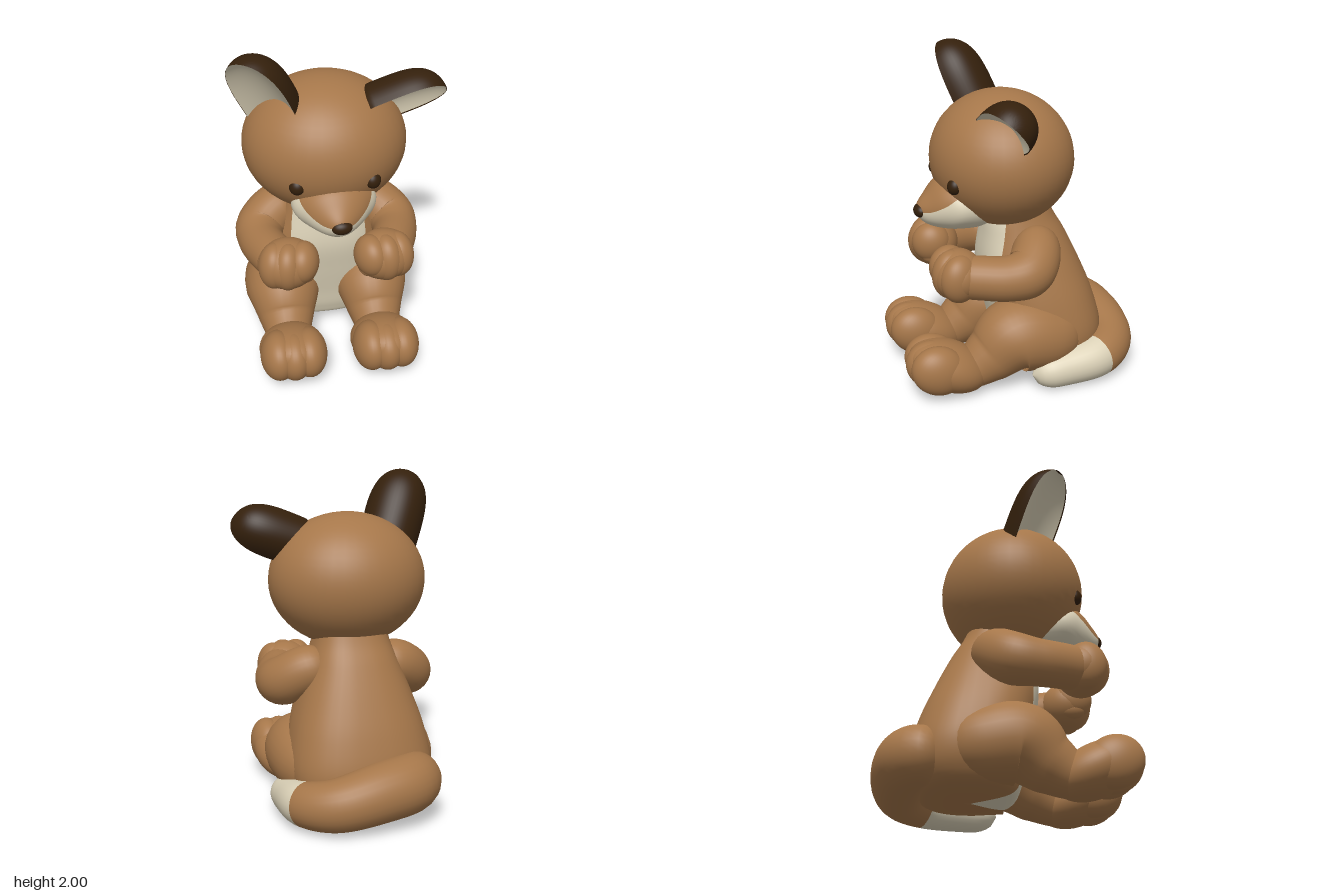
import * as THREE from 'three';
import { toCreasedNormals } from 'three/addons/utils/BufferGeometryUtils.js';

const CX = -0.05; // body midline

// Smooth interpolation through rows of numbers, t from 0 to 1
function blend(rows, t) {
  const n = rows.length - 1, f = Math.min(t * n, n - 1e-6), i = Math.floor(f), k = f - i;
  const [a, b, c, d] = [-1, 0, 1, 2].map(o => rows[Math.max(0, Math.min(n, i + o))]);
  return b.map((p, q) => p + 0.5 * k * (c[q] - a[q] +
    k * (2 * a[q] - 5 * p + 4 * c[q] - d[q] + k * (3 * (p - c[q]) + d[q] - a[q]))));
}

// Skin of closed rings; faces where isSecond(v, a) holds use the second material
function loft(name, rows, cols, point, mats, isSecond = () => false, crease = false) {
  const pos = [], faces = [[], []];
  for (let i = 0; i <= rows; i++) {
    for (let j = 0; j < cols; j++) pos.push(...point(i / rows, j / cols));
  }
  for (let i = 0; i < rows; i++) {
    for (let j = 0; j < cols; j++) {
      const a = i * cols + j, b = i * cols + (j + 1) % cols, c = a + cols, d = b + cols;
      faces[isSecond((i + 0.5) / rows, (j + 0.5) / cols) ? 1 : 0].push(a, c, b, b, c, d);
    }
  }
  let g = new THREE.BufferGeometry();
  g.setAttribute('position', new THREE.Float32BufferAttribute(pos, 3));
  g.setIndex([...faces[0], ...faces[1]]);
  g.addGroup(0, faces[0].length, 0);
  if (faces[1].length) g.addGroup(faces[0].length, faces[1].length, 1);
  g.computeVertexNormals();
  if (crease) g = toCreasedNormals(g, 1);
  const m = new THREE.Mesh(g, mats);
  m.name = name;
  return m;
}

// Round limb along [x, y, z, radius] stations with rounded ends
function limb(name, stations, mats, cap = 0.18, isSecond) {
  const rows = 48;
  const curve = new THREE.CatmullRomCurve3(stations.map(s => new THREE.Vector3(s[0], s[1], s[2])));
  const frames = curve.computeFrenetFrames(rows);
  const round = s => s < cap ? Math.sqrt(Math.max(0, 1 - (1 - s / cap) ** 2)) : 1;
  return loft(name, rows, 28, (v, a) => {
    const i = Math.round(v * rows), t = curve.getUtoTmapping(v);
    const r = blend(stations, t)[3] * round(v) * round(1 - v);
    return curve.getPoint(t)
      .addScaledVector(frames.normals[i], r * Math.cos(a * 2 * Math.PI))
      .addScaledVector(frames.binormals[i], -r * Math.sin(a * 2 * Math.PI)).toArray();
  }, mats, isSecond);
}

function ellipsoid(name, mat, p, r, rot = [0, 0, 0]) {
  const m = new THREE.Mesh(new THREE.SphereGeometry(1, 40, 28), mat);
  m.name = name;
  m.position.set(...p);
  m.scale.set(...r);
  m.rotation.set(...rot);
  return m;
}

// Angle for a ring whose first half of columns covers centre +- half
function splitAngle(a, centre, half) {
  return a < 0.5 ? centre - half + 4 * a * half
    : centre + half + (a - 0.5) * 4 * (Math.PI - half);
}

// Cupped ear: hollow pale inside, thick rounded dark back and rim
function ear(name, base, tip, facing, width, depth, mats) {
  const b = new THREE.Vector3(...base), axis = new THREE.Vector3(...tip).sub(b);
  const dir = axis.clone().normalize();
  const n = new THREE.Vector3(...facing);
  n.addScaledVector(dir, -n.dot(dir)).normalize();
  const across = dir.clone().cross(n);
  return loft(name, 48, 48, (s, a) => {
    // rows crowd towards the tip so that it stays round
    const v = -0.3 + 1.3 * Math.sin(s * Math.PI / 2);
    const taper = p => v > 0 ? Math.sqrt(Math.max(0, 1 - v ** p)) : 1 + v;
    const x = Math.cos(a * 2 * Math.PI), y = Math.abs(Math.sin(a * 2 * Math.PI));
    const w = a < 0.5 ? 0.4 * y * y * taper(3) : y ** 0.85 * taper(4.5);
    return b.clone().addScaledVector(axis, v)
      .addScaledVector(across, x * width * (0.93 + 0.15 * v) * taper(3.6))
      .addScaledVector(n, -w * depth).toArray();
  }, mats, (v, a) => a > 0.48 || a < 0.04 || v > 0.92, true);
}

export function createModel() {
  const model = new THREE.Group();
  model.name = 'sittingFox';
  const material = (name, color) => {
    const m = new THREE.MeshStandardMaterial({ color });
    m.name = name;
    return m;
  };
  const fur = material('brownFur', 0xa6774a);
  const cream = material('creamFur', 0xdcd2b8);
  const dark = material('darkBrown', 0x34200c);

  // Torso rings: height, back z, front z, half width, half angle of the cream belly
  const torso = [
    [0.05, -0.22, -0.18, 0.01, 0.5], [0.065, -0.44, 0.04, 0.3, 0.46],
    [0.15, -0.53, 0.1, 0.4, 0.4], [0.3, -0.55, 0.13, 0.435, 0.45],
    [0.5, -0.5, 0.17, 0.405, 0.52], [0.7, -0.42, 0.2, 0.345, 0.66],
    [0.9, -0.325, 0.18, 0.27, 0.85], [1.02, -0.255, 0.16, 0.23, 0.95], [1.15, -0.2, 0.1, 0.2, 0.95],
  ];
  const square = c => Math.sign(c) * Math.abs(c) ** 0.82;
  model.add(loft('torso', 48, 64, (v, a) => {
    const [y, z0, z1, rx, half] = blend(torso, v), t = splitAngle(a, Math.PI / 2, half);
    return [CX + rx * square(Math.cos(t)), y, (z0 + z1) / 2 + (z1 - z0) / 2 * square(Math.sin(t))];
  }, [cream, fur], (v, a) => a > 0.5));

  // Head
  model.add(ellipsoid('head', fur, [CX - 0.01, 1.365, 0.05], [0.48, 0.405, 0.43]));

  // Muzzle rings from tip to back: z, centre y, half width, half height, half angle of the cream
  const muzzle = [
    [0.585, 1.085, 0.002, 0.002, 1.6], [0.575, 1.085, 0.045, 0.04, 1.6], [0.53, 1.09, 0.105, 0.09, 1.62],
    [0.45, 1.115, 0.185, 0.145, 1.78], [0.35, 1.12, 0.245, 0.16, 2.15], [0.2, 1.115, 0.22, 0.15, 2.15],
    [0.08, 1.15, 0.15, 0.1, 2.1],
  ];
  model.add(loft('muzzle', 36, 48, (v, a) => {
    const [z, y, rx, ry, half] = blend(muzzle, v), t = splitAngle(a, -Math.PI / 2, half);
    return [CX + rx * Math.cos(t), y + ry * Math.sin(t), z];
  }, [cream, fur], (v, a) => a > 0.5));
  model.add(ellipsoid('nose', dark, [CX + 0.008, 1.083, 0.56], [0.06, 0.042, 0.042]));

  // Ears: one upright, one drooping sideways
  model.add(ear('rightEar', [-0.35, 1.53, 0.13], [-0.535, 1.985, 0.29], [-0.53, -0.4, 0.72], 0.19, 0.2, [cream, dark]));
  model.add(ear('leftEar', [0.23, 1.56, 0.17], [0.615, 1.71, 0.2], [0.2, -0.64, 0.72], 0.17, 0.19, [cream, dark]));

  for (const s of [-1, 1]) {
    const side = s > 0 ? 'left' : 'right';
    const at = (x, y, z) => [CX + s * x, y, z];
    const path = rows => rows.map(([x, y, z, r]) => [CX + s * x, y, z, r]);

    // Eye
    model.add(ellipsoid(side + 'Eye', dark, [CX - 0.003 + s * 0.215, 1.277, 0.405], [0.046, 0.049, 0.04], [-0.2, s * 0.4, 0]));

    // Arm, bent forward at the elbow
    model.add(limb(side + 'Arm', path([
      [0.12, 0.88, -0.08, 0.12], [0.28, 0.85, -0.07, 0.145], [0.4, 0.77, 0.02, 0.15],
      [0.41, 0.75, 0.14, 0.135], [0.36, 0.755, 0.3, 0.13], [0.28, 0.76, 0.46, 0.13],
    ]), [fur]));

    // Paw with softly grooved fingers and thumb
    const hand = new THREE.Group();
    hand.name = side + 'Hand';
    hand.add(ellipsoid('palm', fur, at(0.285, 0.765, 0.415), [0.175, 0.152, 0.152]));
    [[0.2, 0.79, 0.45, 0.125], [0.285, 0.77, 0.455, 0.148], [0.36, 0.765, 0.425, 0.143]].forEach(([x, y, z, h]) =>
      hand.add(ellipsoid('finger', fur, at(x, y, z), [0.095, h, 0.12], [0, s * 0.3, 0])));
    hand.add(ellipsoid('thumb', fur, at(0.185, 0.715, 0.43), [0.06, 0.065, 0.09]));
    model.add(hand);

    // Leg from hip over the knee to the ankle
    model.add(limb(side + 'Leg', path([
      [0.23, 0.26, -0.38, 0.14], [0.28, 0.29, -0.14, 0.215], [0.28, 0.31, 0.07, 0.23],
      [0.28, 0.2, 0.23, 0.17], [0.28, 0.14, 0.36, 0.13], [0.28, 0.16, 0.5, 0.13],
    ]), [fur]));

    // Foot with three softly grooved toes
    const foot = new THREE.Group();
    foot.name = side + 'Foot';
    foot.add(ellipsoid('sole', fur, at(0.28, 0.178, 0.485), [0.198, 0.15, 0.255], [-0.45, 0, 0]));
    for (const k of [-1, 0, 1]) {
      foot.add(ellipsoid('toe', fur, at(0.28 + k * 0.09, 0.2, k ? 0.565 : 0.578),
        [0.11, 0.15, 0.17], [-0.5, 0, 0]));
    }
    model.add(foot);
  }

  // Tail, curling round the back to the left with a cream tip
  model.add(limb('tail', [
    [-0.34, 0.24, -0.34, 0.15], [-0.27, 0.24, -0.51, 0.175], [-0.06, 0.22, -0.575, 0.175],
    [0.2, 0.17, -0.565, 0.155], [0.34, 0.145, -0.44, 0.135], [0.37, 0.115, -0.2, 0.115], [0.375, 0.095, 0, 0.095],
  ], [fur, cream], 0.1, v => v > 0.665));

  return model;
}
